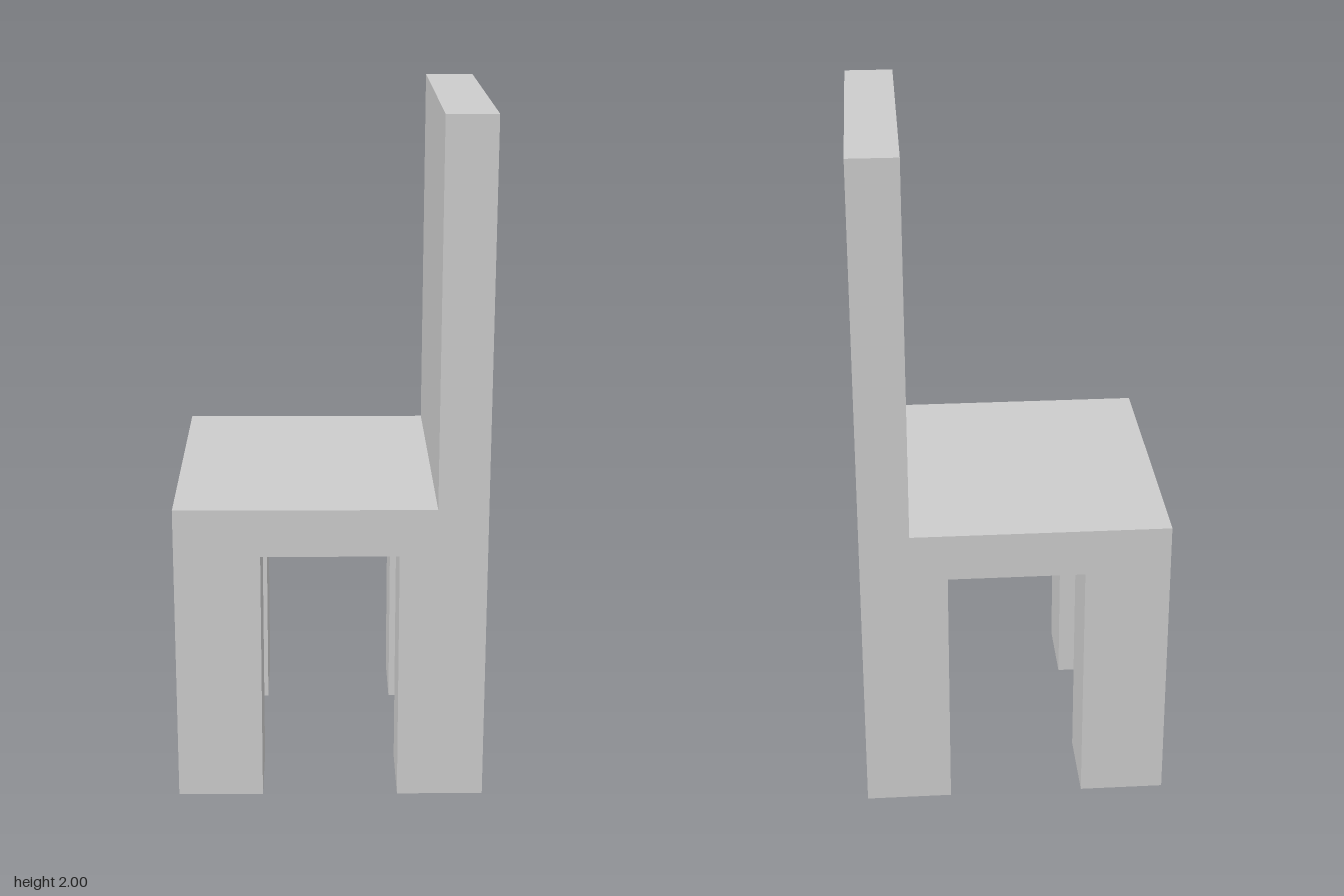
import * as THREE from 'three';

export function createModel() {
  const chair = new THREE.Group();
  chair.name = 'chair';
  const material = new THREE.MeshStandardMaterial({ color: 0xcccccc, flatShading: true });

  // Box given by its lower and upper limits on each axis
  function block(name, [x0, x1], [y0, y1], [z0, z1]) {
    const mesh = new THREE.Mesh(new THREE.BoxGeometry(x1 - x0, y1 - y0, z1 - z0), material);
    mesh.position.set((x0 + x1) / 2, (y0 + y1) / 2, (z0 + z1) / 2);
    mesh.name = name;
    chair.add(mesh);
  }

  const X = 0.447, Z = 0.454; // half width and half depth
  const seatBottom = 0.75, seatTop = 0.89;

  // Seat slab and the upright backrest on its +x edge
  block('seat', [-X, X], [seatBottom, seatTop], [-Z, Z]);
  block('backrest', [0.303, X], [seatTop, 2], [-Z, Z]);

  // Four square legs, flush with the seat corners
  const legX = { seatFront: [-X, -0.2], seatBack: [0.196, X] };
  const legZ = { Left: [0.214, Z], Right: [-Z, -0.212] };
  for (const [end, xs] of Object.entries(legX)) {
    for (const [side, zs] of Object.entries(legZ)) {
      block(`${end}${side}Leg`, xs, [0, seatBottom], zs);
    }
  }
  return chair;
}
